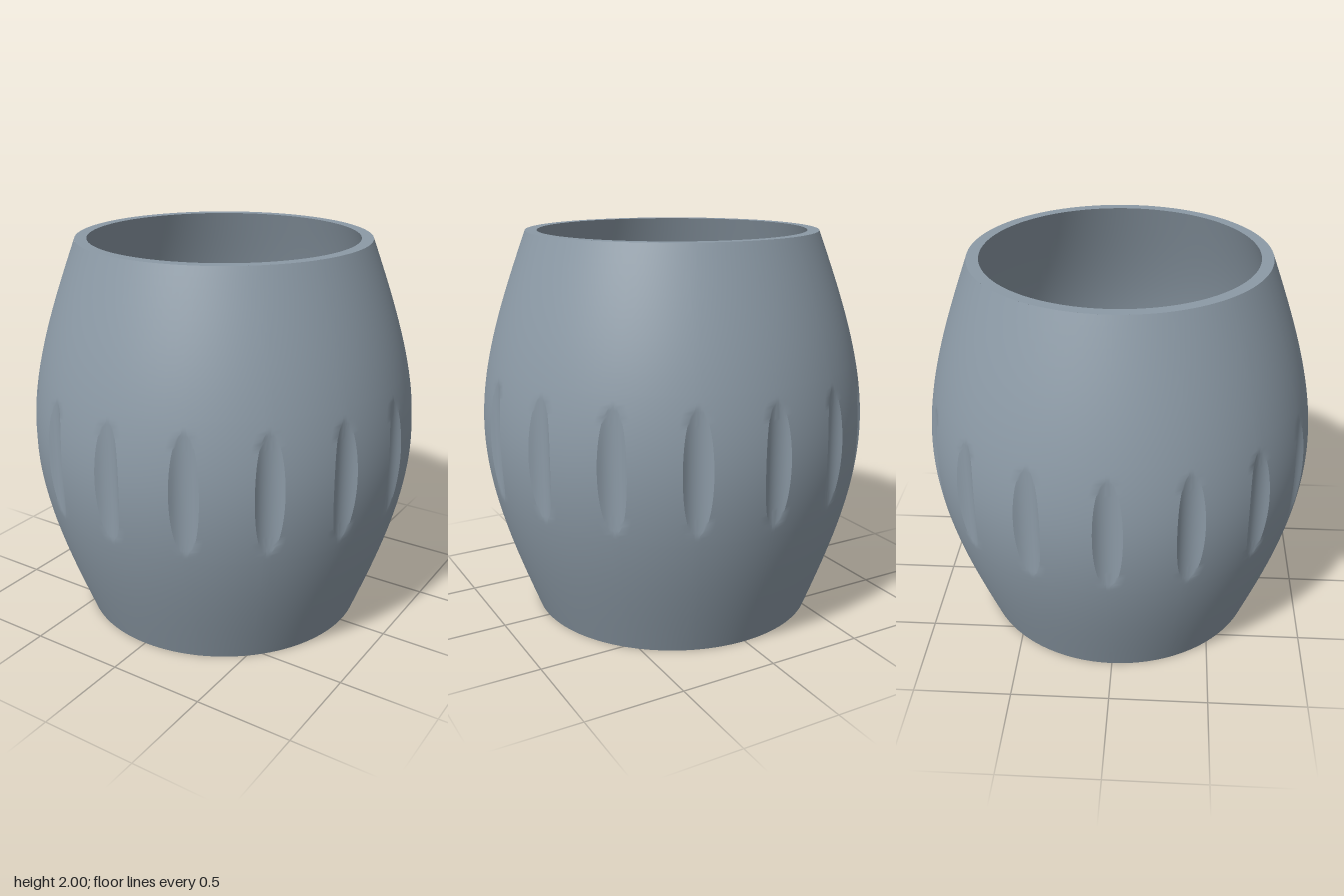
import * as THREE from 'three';
import { toCreasedNormals } from 'three/addons/utils/BufferGeometryUtils.js';

const GROOVES = 16;          // scalloped cuts around the waist
const CUT_R = 0.1;           // radius of each vertical cut
const CUT_C = 1.068;         // distance of each cut's axis from the centre
const WALL = 0.06;
const HOLE_R = 0.077;

// Barrel radius at height y: straight-ish ends, widest at the middle
function barrelRadius(y) {
  const t = 1 - Math.abs(y - 1);
  return 0.75 + 0.25 * (1.5 * t - 0.5 * t ** 3);
}

// Half angle over which a cut bites into a ring of radius r (0 if it misses)
function cutHalfAngle(r) {
  const c = (r * r + CUT_C * CUT_C - CUT_R * CUT_R) / (2 * r * CUT_C);
  return c < 1 ? Math.acos(c) : 0;
}

// Heights, packed closely where the cuts are
function rowHeights() {
  const rows = [];
  const add = (a, b, n) => {
    for (let i = 0; i < n; i++) rows.push(a + (b - a) * i / n);
  };
  add(0, 0.64, 14);
  add(0.64, 1.36, 48);
  add(1.36, 2, 14);
  rows.push(2);
  return rows;
}

// Outer wall: rings whose columns follow the edges of the cuts
function outerWall() {
  const inCut = 10, between = 8, perSector = inCut + between;
  const cols = GROOVES * perSector;
  const step = Math.PI * 2 / GROOVES;
  const rows = rowHeights();
  const pos = [], index = [];
  for (const y of rows) {
    const r = barrelRadius(y);
    const half = cutHalfAngle(r);
    const span = Math.max(half, 0.02);
    for (let g = 0; g < GROOVES; g++) {
      for (let k = 0; k < perSector; k++) {
        const local = k <= inCut
          ? span * (2 * k / inCut - 1)
          : span + (step - 2 * span) * (k - inCut) / between;
        let rad = r;
        if (Math.abs(local) < half) {
          const s = CUT_C * Math.sin(local);
          rad = Math.min(r, CUT_C * Math.cos(local) - Math.sqrt(CUT_R * CUT_R - s * s));
        }
        const a = g * step + local;
        pos.push(rad * Math.sin(a), y, rad * Math.cos(a));
      }
    }
  }
  for (let j = 0; j < rows.length - 1; j++) {
    for (let i = 0; i < cols; i++) {
      const n = (i + 1) % cols;
      const a = j * cols + i, b = j * cols + n;
      const c = b + cols, d = a + cols;
      index.push(a, b, c, a, c, d);
    }
  }
  const geo = new THREE.BufferGeometry();
  geo.setAttribute('position', new THREE.Float32BufferAttribute(pos, 3));
  geo.setIndex(index);
  return toCreasedNormals(geo, Math.PI / 6);
}

// Ring or wall turned from [radius, height] points
function turned(points) {
  const pts = points.map(([r, y]) => new THREE.Vector2(r, y));
  return new THREE.LatheGeometry(pts, 128);
}

export function createModel() {
  const group = new THREE.Group();
  group.name = 'barrelCup';
  const material = new THREE.MeshStandardMaterial({ color: 0x8c9aa6 });
  material.name = 'blueGrey';
  const add = (name, geometry) => {
    const mesh = new THREE.Mesh(geometry, material);
    mesh.name = name;
    group.add(mesh);
  };

  add('groovedOuterWall', outerWall());

  // Inside wall keeps an even thickness, from the rim down to the floor
  const inside = [];
  const steps = 40;
  for (let i = 0; i <= steps; i++) {
    const y = 2 - (2 - WALL) * i / steps;
    inside.push([barrelRadius(y) - WALL, y]);
  }
  add('innerWall', turned(inside));
  add('rim', turned([[0.75, 2], [0.75 - WALL, 2]]));

  // Floor with a drain hole
  add('floor', turned([inside[steps], [HOLE_R, WALL]]));
  add('drainHole', turned([[HOLE_R, WALL], [HOLE_R, 0]]));
  add('underside', turned([[HOLE_R, 0], [0.75, 0]]));

  return group;
}
